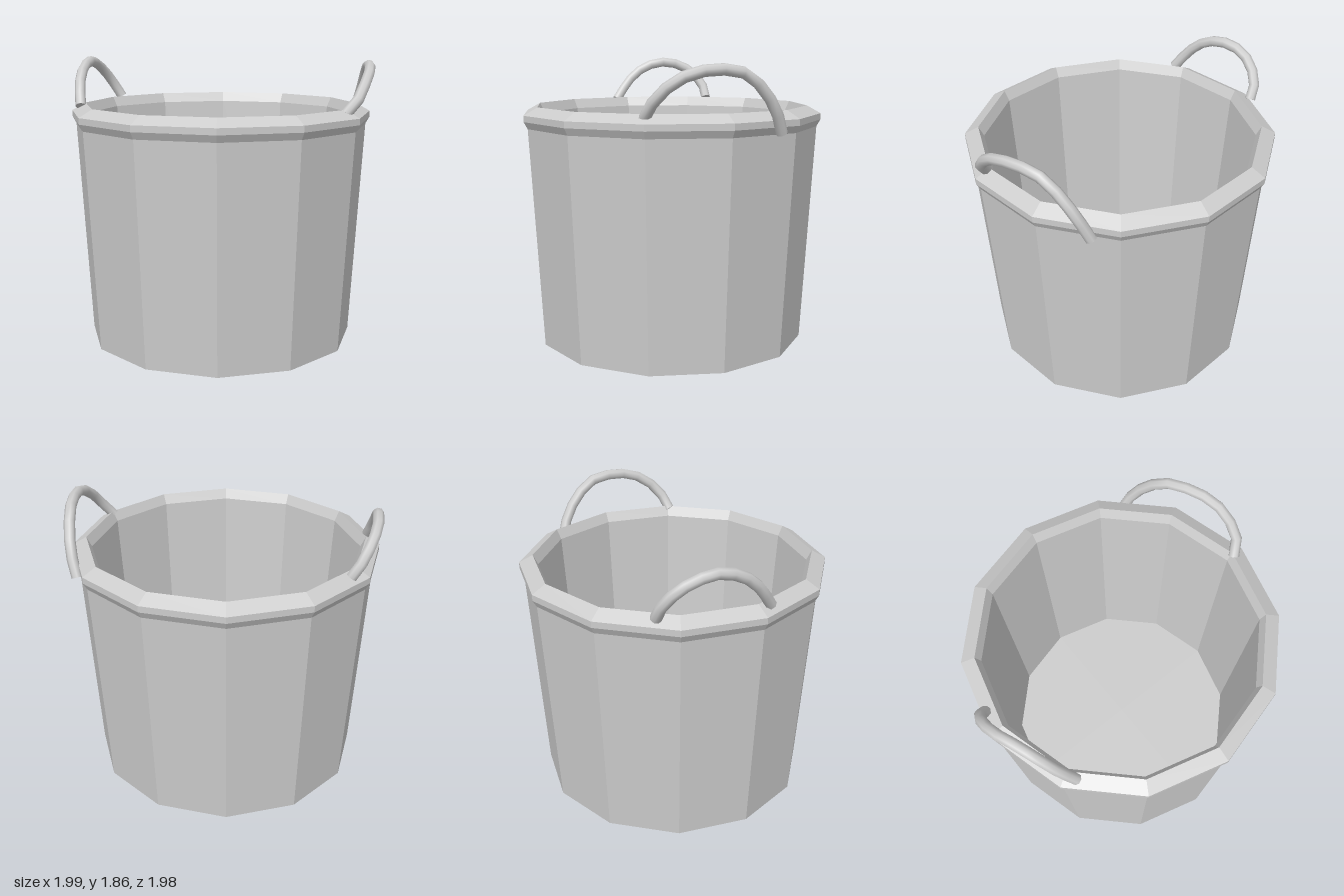
import * as THREE from 'three';

const metal = new THREE.MeshStandardMaterial({ color: 0xcccccc });
metal.name = 'greyMetal';

// Twelve-sided faceted ring of surface from [radius, height] pairs
function lathePart(name, profile) {
  const points = profile.map(([r, y]) => new THREE.Vector2(r, y));
  const geometry = new THREE.LatheGeometry(points, 12).toNonIndexed();
  geometry.computeVertexNormals();
  const mesh = new THREE.Mesh(geometry, metal);
  mesh.name = name;
  mesh.position.x = -0.007;
  return mesh;
}

// Bent rod with rounded shading and closed ends
function handle(name, path) {
  const points = path.map((p) => new THREE.Vector3(...p));
  const curve = new THREE.CatmullRomCurve3(points);
  const group = new THREE.Group();
  group.name = name;
  group.add(new THREE.Mesh(new THREE.TubeGeometry(curve, 10, 0.035, 8), metal));
  for (const t of [0, 1]) {
    const cap = new THREE.Mesh(new THREE.CircleGeometry(0.035, 8), metal);
    const direction = curve.getTangentAt(t).multiplyScalar(t ? 1 : -1);
    cap.position.copy(curve.getPointAt(t));
    cap.quaternion.setFromUnitVectors(new THREE.Vector3(0, 0, 1), direction);
    group.add(cap);
  }
  group.children.forEach((m, i) => { m.name = i ? 'handleEnd' : 'handleRod'; });
  return group;
}

export function createModel() {
  const model = new THREE.Group();
  model.name = 'bucket';

  // Underside and tapered outer wall
  model.add(lathePart('outerWall', [[0, 0], [0.887, 0], [0.965, 1.43]]));
  // Flared, bevelled rim
  model.add(lathePart('rim', [
    [0.965, 1.43], [0.99, 1.475], [0.99, 1.515], [0.9, 1.565], [0.868, 1.5],
  ]));
  // Inner wall and floor
  model.add(lathePart('innerWall', [[0.868, 1.5], [0.778, 0.06], [0, 0.06]]));

  // Loose handles, each swung to its own angle
  model.add(handle('leftHandle', [
    [0.77, 1.54, 0.465], [0.84, 1.62, 0.45], [0.9, 1.73, 0.36], [0.94, 1.795, 0.24],
    [0.958, 1.817, 0.07], [0.963, 1.79, -0.08], [0.96, 1.71, -0.18],
    [0.945, 1.58, -0.28], [0.91, 1.44, -0.34],
  ]));
  model.add(handle('rightHandle', [
    [-0.74, 1.56, -0.58], [-0.79, 1.64, -0.58], [-0.85, 1.74, -0.52],
    [-0.895, 1.805, -0.42], [-0.92, 1.825, -0.28], [-0.94, 1.78, -0.14],
    [-0.945, 1.69, -0.03], [-0.925, 1.55, 0.075],
  ]));
  return model;
}
